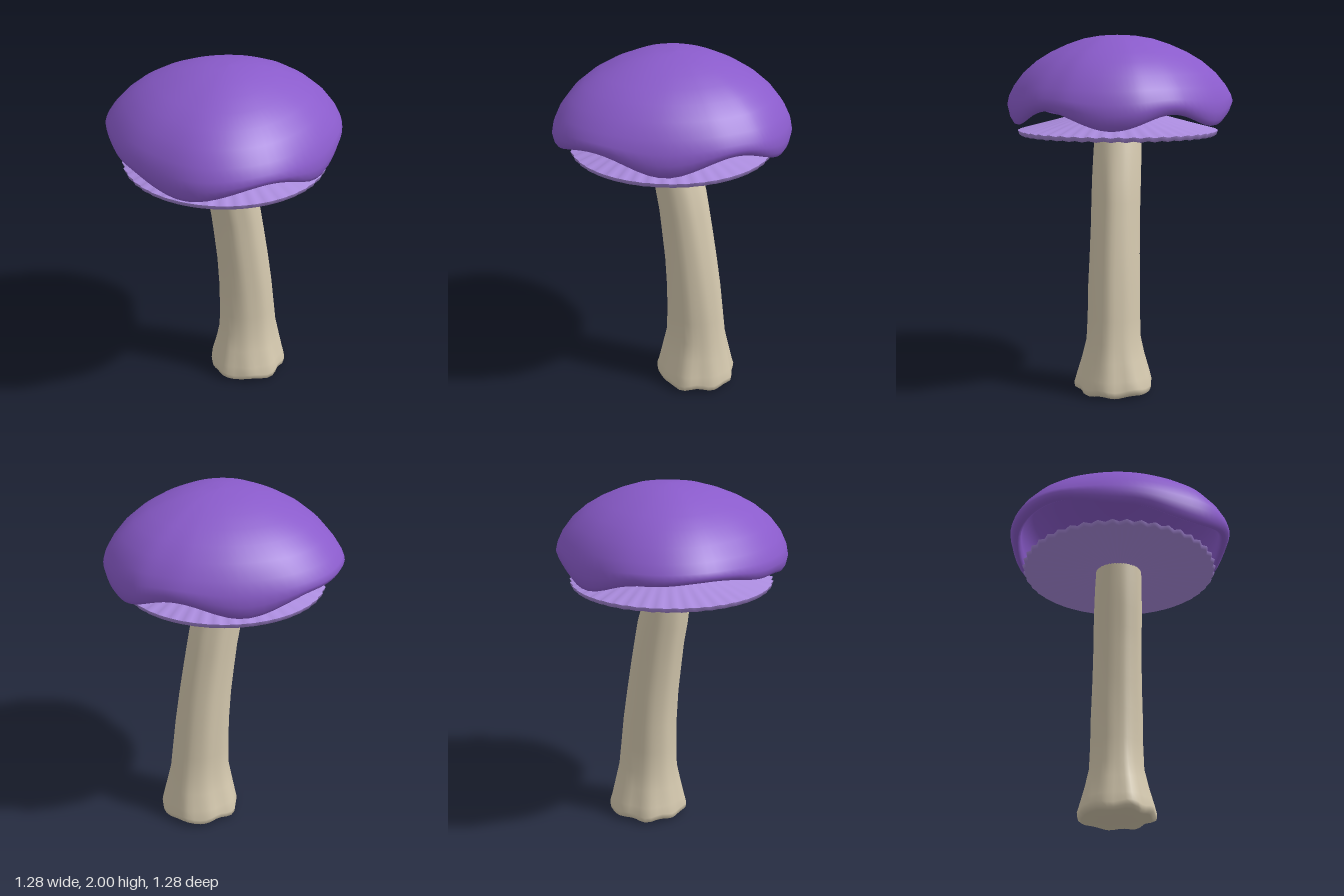
import * as THREE from 'three';

// Skin a list of rings (ordered from top to bottom, outside facing out); point(row, j) returns [x, y, z]
function loft(rows, segs, point) {
  const pos = [], index = [];
  rows.forEach((row) => {
    for (let j = 0; j < segs; j++) pos.push(...point(row, j));
  });
  for (let i = 0; i < rows.length - 1; i++) {
    for (let j = 0; j < segs; j++) {
      const k = (j + 1) % segs;
      const a = i * segs + j, b = i * segs + k;
      index.push(a, b, a + segs, b, b + segs, a + segs);
    }
  }
  const geo = new THREE.BufferGeometry();
  geo.setAttribute('position', new THREE.Float32BufferAttribute(pos, 3));
  geo.setIndex(index);
  geo.computeVertexNormals();
  return geo;
}

// Wavy height of the cap rim: [angle in degrees, y], eased between entries
const RIM = [[-5, 1.505], [31, 1.6], [68, 1.51], [104, 1.605], [145, 1.515], [180, 1.565],
  [220, 1.62], [250, 1.6], [287, 1.51], [322, 1.585], [355, 1.505]];
function rimHeight(deg) {
  const d = deg < -5 ? deg + 360 : deg;
  let i = 0;
  while (i < RIM.length - 2 && d > RIM[i + 1][0]) i++;
  const [a, ya] = RIM[i], [b, yb] = RIM[i + 1];
  return ya + (yb - ya) * (1 - Math.cos(Math.PI * (d - a) / (b - a))) / 2;
}

// Rounded-triangle cap outline, mirrored over the x axis
const HALF = [[0.61, 0.18], [0.54, 0.3], [0.435, 0.42], [0.2, 0.57], [-0.1, 0.64],
  [-0.34, 0.588], [-0.51, 0.45], [-0.61, 0.22]];
const OUTLINE = new THREE.CatmullRomCurve3([
  [0.637, 0], ...HALF, [-0.642, 0], ...HALF.slice().reverse().map(([x, z]) => [x, -z]),
].map(([x, z]) => new THREE.Vector3(x, 0, z)), true);

function capGeometry() {
  const segs = 90;
  // [fraction of outline, height, how far it follows the rim wave]: dome, rim, then hollow inside
  const rows = [[0, 2, 0], [0.15, 1.996, 0], [0.3, 1.98, 0], [0.45, 1.948, 0], [0.6, 1.905, 0],
    [0.73, 1.855, 0], [0.85, 1.79, 0], [0.94, 1.715, 0.1], [0.985, 1.655, 0.3], [1, 1.61, 0.6],
    [0.985, 1.573, 0.85], [0.96, 1.553, 1], [0.935, 1.55, 1], [0.91, 1.56, 1], [0.905, 1.61, 0.8],
    [0.88, 1.68, 0.4], [0.8, 1.76, 0], [0.6, 1.85, 0], [0.3, 1.91, 0], [0, 1.93, 0]];
  const ring = Array.from({ length: segs }, (_, j) => {
    const p = OUTLINE.getPoint(j / segs);
    return { p, lift: rimHeight(THREE.MathUtils.radToDeg(Math.atan2(p.z, p.x))) - 1.55 };
  });
  return loft(rows, segs, ([s, y, k], j) => [ring[j].p.x * s, y + k * ring[j].lift, ring[j].p.z * s]);
}

// Shallow cone with a frilled edge; ripple grows toward the rim
function gillGeometry(rows) {
  const segs = 176;
  return loft(rows, segs, ([r, y, ripple], j) => {
    const t = j / segs * Math.PI * 2;
    const w = Math.cos(t * 44);
    const rr = r * (1 + 0.012 * w * (r > 0.5 ? 1 : 0));
    return [-0.025 + rr * Math.cos(t), y + ripple * w, rr * Math.sin(t)];
  });
}

function stemGeometry() {
  const segs = 40;
  // [y, centre x, radius x, radius z, ridge depth]
  const rows = [[1.455, -0.022, 0.12, 0.132, 0.01], [1.35, 0, 0.13, 0.136, 0.015],
    [1.2, 0.032, 0.143, 0.138, 0.025], [1.08, 0.055, 0.143, 0.138, 0.025],
    [0.95, 0.075, 0.147, 0.138, 0.02], [0.78, 0.1, 0.151, 0.141, 0.02], [0.6, 0.12, 0.158, 0.146, 0.025],
    [0.43, 0.131, 0.167, 0.148, 0.02], [0.3, 0.137, 0.176, 0.153, 0.025], [0.2, 0.138, 0.196, 0.175, 0.035],
    [0.1, 0.138, 0.215, 0.203, 0.045], [0.05, 0.138, 0.226, 0.217, 0.05], [0.022, 0.138, 0.222, 0.214, 0.05],
    [0.008, 0.138, 0.2, 0.192, 0.04], [0.006, 0.138, 0.1, 0.1, 0], [0.012, 0.138, 0, 0, 0]];
  return loft(rows, segs, ([y, cx, rx, rz, d], j) => {
    const t = j / segs * Math.PI * 2;
    const w = 1 + d * (0.6 * Math.sin(5 * t + 1.5 * y) + 0.5 * Math.cos(9 * t - y));
    return [cx + rx * w * Math.cos(t), Math.max(0, y + 0.15 * d * Math.sin(7 * t) * (y < 0.1 ? 1 : 0)),
      -0.002 + rz * w * Math.sin(t)];
  });
}

export function createModel() {
  const capPurple = new THREE.MeshStandardMaterial({ name: 'capPurple', color: 0x8a5bcb });
  const gillLilac = new THREE.MeshStandardMaterial({ name: 'gillLilac', color: 0xa98adc });
  const stemBeige = new THREE.MeshStandardMaterial({ name: 'stemBeige', color: 0xd4c8ae });

  const model = new THREE.Group();
  model.name = 'mushroom';
  const add = (name, geo, mat) => {
    const mesh = new THREE.Mesh(geo, mat);
    mesh.name = name;
    model.add(mesh);
  };

  add('cap', capGeometry(), capPurple);
  // Upper face, then thin edge and pleated underside
  add('gillTop', gillGeometry([[0, 1.615, 0], [0.2, 1.567, 0], [0.4, 1.513, 0.001], [0.558, 1.468, 0.004]]), gillLilac);
  add('gillUnderside', gillGeometry([[0.558, 1.468, 0.004], [0.55, 1.445, 0.004],
    [0.4, 1.446, 0.005], [0.2, 1.447, 0.003], [0, 1.449, 0]]), gillLilac);
  add('stem', stemGeometry(), stemBeige);
  return model;
}
